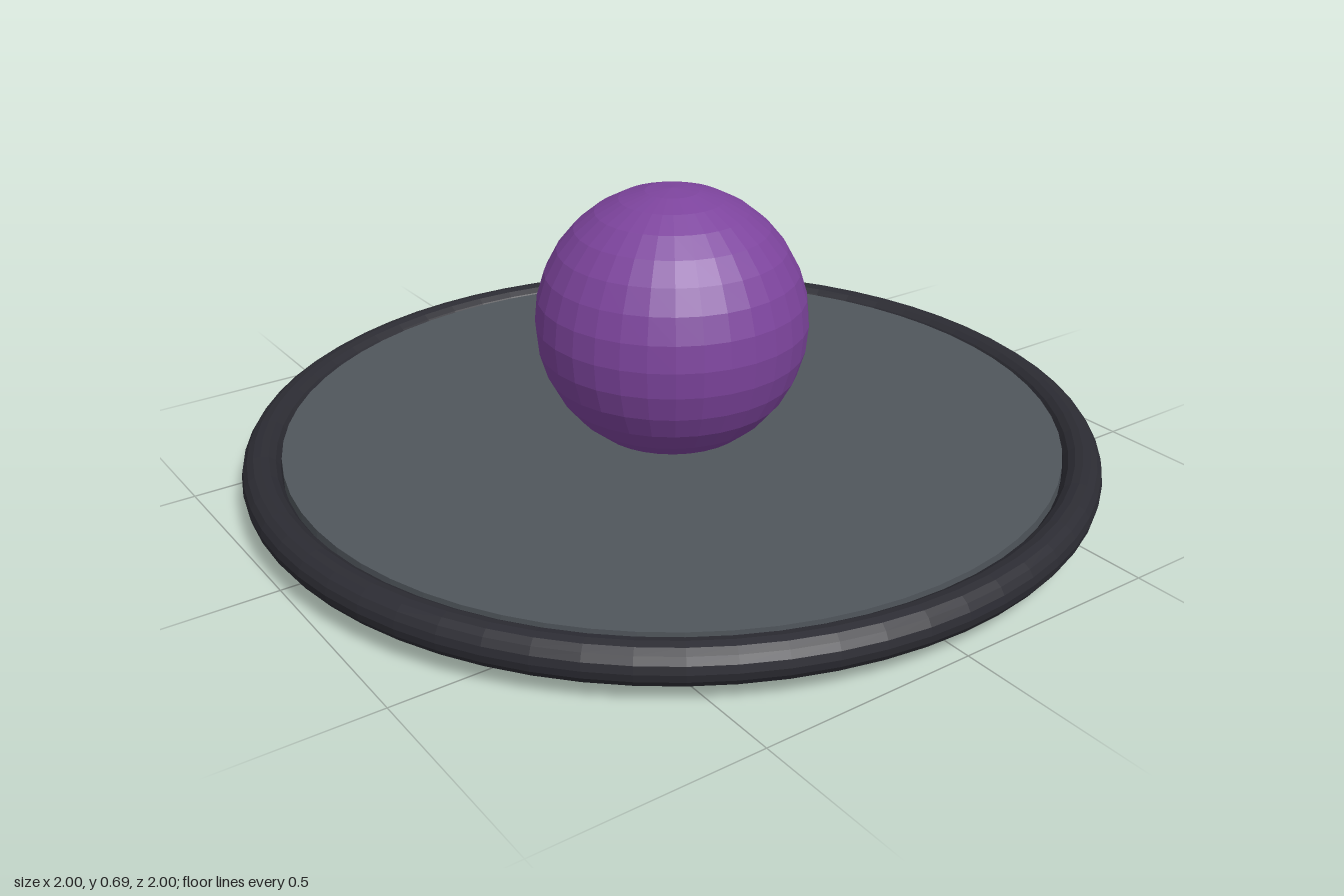
import * as THREE from 'three';

const part = (name, geometry, color, y, parent) => {
  const mesh = new THREE.Mesh(
    geometry,
    new THREE.MeshStandardMaterial({ color, flatShading: true })
  );
  mesh.name = name;
  mesh.position.y = y;
  parent.add(mesh);
  return mesh;
};

export function createModel() {
  const model = new THREE.Group();
  model.name = 'ballOnDisc';

  const tube = 0.0455;
  const discRadius = 0.909;
  const discHeight = 0.114;
  const ballRadius = 0.318;

  // Flat round base
  part('baseDisc', new THREE.CylinderGeometry(discRadius, discRadius, discHeight, 64),
    0x50565c, discHeight / 2, model);

  // Rounded rim hugging the edge of the base
  const rim = new THREE.TorusGeometry(1 - tube, tube, 16, 64).rotateX(Math.PI / 2);
  part('rim', rim, 0x2c2c33, 0.08, model);

  // Ball sunk slightly into the base
  part('ball', new THREE.SphereGeometry(ballRadius, 32, 16), 0x7d449d, 0.376, model);

  return model;
}
